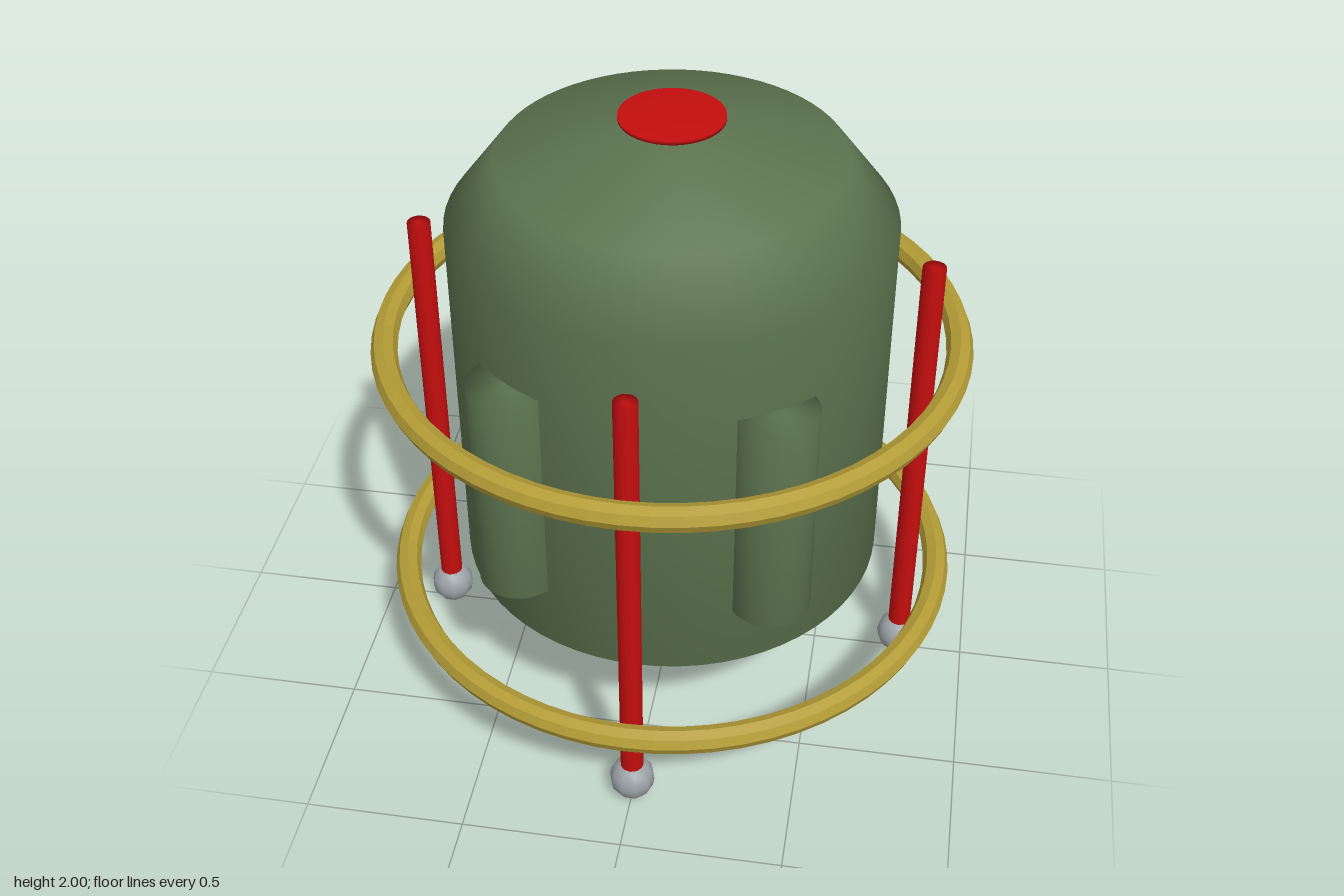
import * as THREE from 'three';

const mat = (name, color, extra = {}) => {
  const m = new THREE.MeshStandardMaterial({ color, ...extra });
  m.name = name;
  return m;
};

export function createModel() {
  const green = mat('hull green', 0x5c734e);
  const red = mat('red', 0xc40e0e);
  const gold = mat('gold', 0xb39c36, { flatShading: true });
  const grey = mat('light grey', 0x9ba2a6);

  const model = new THREE.Group();
  const add = (name, geometry, material, x = 0, y = 0, z = 0) => {
    const mesh = new THREE.Mesh(geometry, material);
    mesh.name = name;
    mesh.position.set(x, y, z);
    model.add(mesh);
    return mesh;
  };
  const lathe = (points, segments) =>
    new THREE.LatheGeometry(points.map(([r, y]) => new THREE.Vector2(r, y)), segments);
  // Softly shaded closed drum between two heights
  const drum = (r, y0, y1, segments) => lathe([[0, y0], [r, y0], [r, y1], [0, y1]], segments);

  // Capsule hull
  add('hull', lathe([
    [0, 0.2], [0.31, 0.2], [0.675, 0.46], [0.675, 1.665],
    [0.52, 1.87], [0.11, 1.975], [0, 1.975],
  ], 64), green);

  // Cap disc hovering just above the hull
  add('topCap', drum(0.157, 1.988, 2, 48), red);

  // Two pods on the front of the hull
  const pod = drum(0.125, 0.67, 1.4, 32);
  for (const side of [-1, 1]) {
    add(side > 0 ? 'leftPod' : 'rightPod', pod, green, side * 0.385, 0, 0.54);
  }

  // Four posts on ball feet
  const post = drum(0.036, 0.08, 1.56, 16);
  const foot = new THREE.SphereGeometry(0.071, 10, 8);
  ['left', 'front', 'right', 'back'].forEach((name, i) => {
    const a = (i * Math.PI) / 2;
    const x = 0.783 * Math.cos(a), z = 0.783 * Math.sin(a);
    add(name + 'Post', post, red, x, 0, z);
    add(name + 'Foot', foot, grey, x, 0.073, z);
  });

  // Two rings around the posts
  const ring = new THREE.TorusGeometry(0.885, 0.041, 8, 64);
  ring.rotateX(Math.PI / 2);
  add('lowerRing', ring, gold, 0, 0.36, 0);
  add('upperRing', ring, gold, 0, 1.247, 0);

  return model;
}
